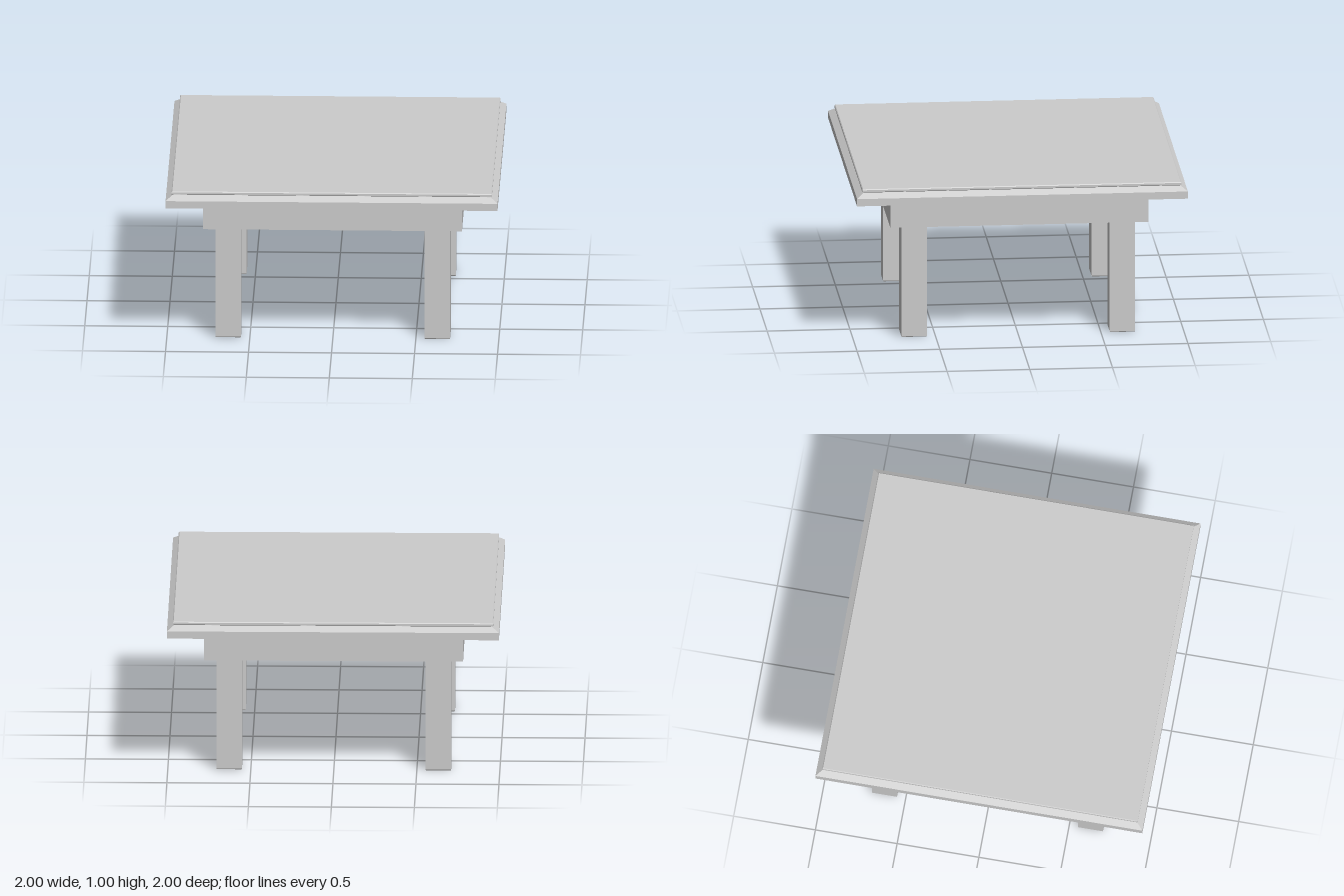
import * as THREE from 'three';

// Square solid from a [half-width, y] profile listed bottom to top
function squareSolid(profile) {
  const points = profile.map(([h, y]) => new THREE.Vector2(h * Math.SQRT2, y));
  const geometry = new THREE.LatheGeometry(points, 4).rotateY(Math.PI / 4).toNonIndexed();
  geometry.computeVertexNormals();
  return geometry;
}

function squarePath(PathType, h) {
  const path = new PathType();
  path.moveTo(-h, -h).lineTo(h, -h).lineTo(h, h).lineTo(-h, h).closePath();
  return path;
}

export function createModel() {
  const table = new THREE.Group();
  table.name = 'table';
  const grey = new THREE.MeshStandardMaterial({ color: 0xcccccc });
  grey.name = 'light grey';

  const add = (name, geometry, x = 0, z = 0) => {
    const mesh = new THREE.Mesh(geometry, grey);
    mesh.name = name;
    mesh.position.set(x, 0, z);
    table.add(mesh);
  };

  // Chamfered board
  add('tableTop', squareSolid([
    [0, 0.905], [1, 0.905], [1, 0.95], [0.958, 0.978], [0, 0.978],
  ]));

  // Thin top panel with eased edges
  add('topPanel', squareSolid([
    [0, 0.978], [0.957, 0.978], [0.965, 0.983], [0.965, 0.995], [0.96, 1], [0, 1],
  ]));

  // Apron: a hollow square frame under the top
  const frame = squarePath(THREE.Shape, 0.78);
  frame.holes.push(squarePath(THREE.Path, 0.707));
  const apron = new THREE.ExtrudeGeometry(frame, { depth: 0.2, bevelEnabled: false });
  apron.rotateX(-Math.PI / 2).translate(0, 0.705, 0);
  add('apron', apron);

  // Legs set into the inner corners of the apron
  const leg = squareSolid([[0, 0], [0.074, 0], [0.077, 0.005], [0.077, 0.905]]);
  for (const [endName, z] of [['front', 0.63], ['back', -0.63]]) {
    for (const [sideName, x] of [['Left', 0.63], ['Right', -0.63]]) {
      add(endName + sideName + 'Leg', leg, x, z);
    }
  }
  return table;
}
